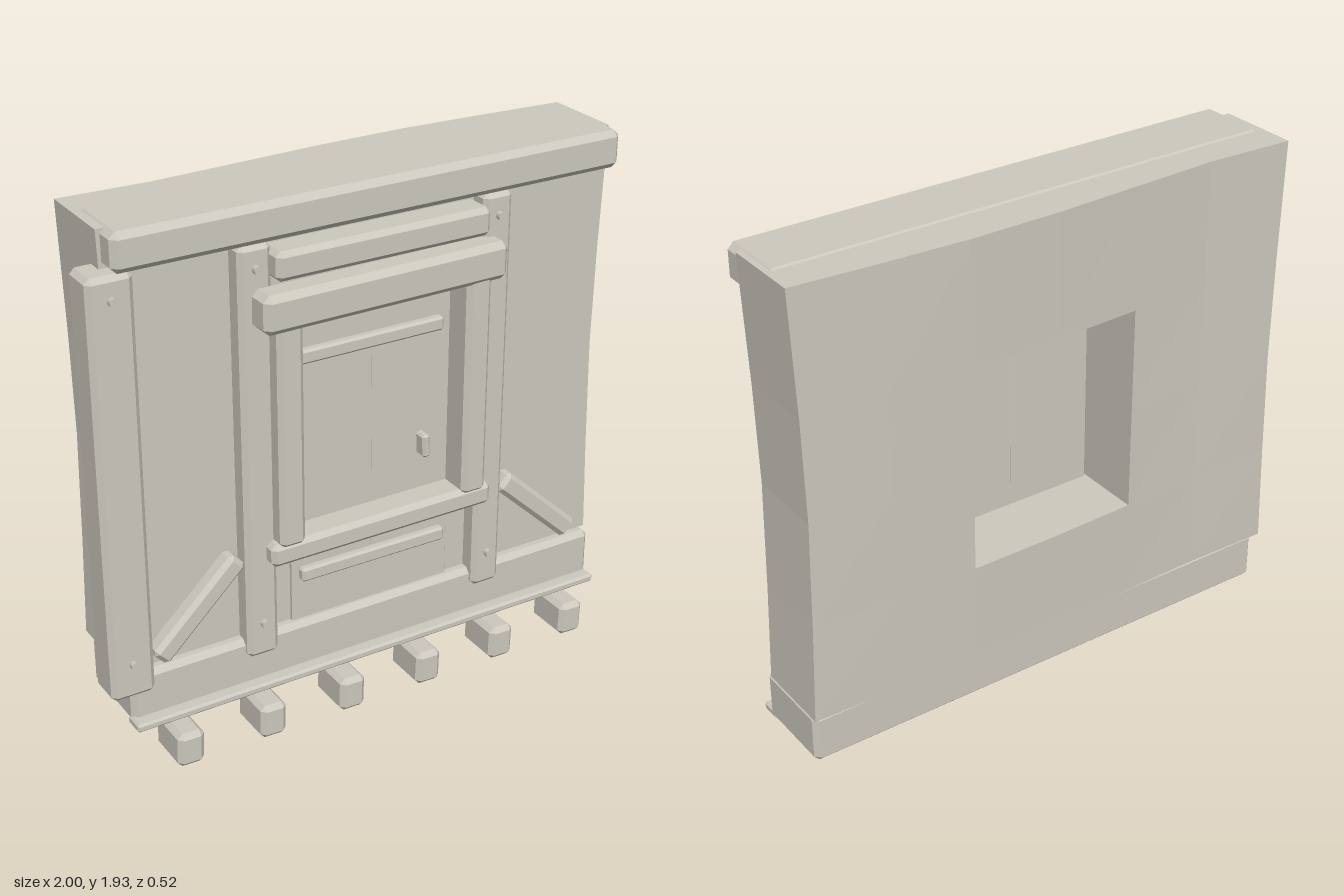
import * as THREE from 'three';
import { ConvexGeometry } from 'three/addons/geometries/ConvexGeometry.js';

const stone = new THREE.MeshStandardMaterial({ color: 0xccc8be });
stone.name = 'warm grey';

// Box with chamfered edges, given by its extents, optionally turned about its centre
function beam(name, [x0, x1], [y0, y1], [z0, z1], bevel = 0.018, roll = 0, yaw = 0) {
  const h = [(x1 - x0) / 2, (y1 - y0) / 2, (z1 - z0) / 2];
  const points = [];
  for (const sx of [-1, 1]) for (const sy of [-1, 1]) for (const sz of [-1, 1]) {
    for (let axis = 0; axis < 3; axis++) {
      const p = h.map((v, i) => (i === axis ? v : v - bevel));
      points.push(new THREE.Vector3(p[0] * sx, p[1] * sy, p[2] * sz));
    }
  }
  const mesh = new THREE.Mesh(new ConvexGeometry(points), stone);
  mesh.name = name;
  mesh.position.set((x0 + x1) / 2, (y0 + y1) / 2, (z0 + z1) / 2);
  mesh.rotation.set(0, yaw, roll);
  return mesh;
}

// Uneven wall slab with a square opening, faceted on a coarse grid
function wallGeometry() {
  const xs = [-0.93, -0.6, -0.29, 0.04, 0.37, 0.68, 1.0];
  const ys = [0.33, 0.7, 1.1, 1.47, 1.92];
  const bulge = [0.008, -0.004, 0.012, 0.03, 0.034, 0.02, 0];
  const pinch = [0, 0.014, 0.024, 0.017, 0];
  const lean = [0.4, 0.55, 0.7, 0.85, 1];
  const nx = xs.length - 1, ny = ys.length - 1;
  const vertex = (i, j, back) => [
    xs[i] + (i === nx ? -pinch[j] : i === 0 ? pinch[j] * 0.8 : 0),
    ys[j],
    back ? -0.226 - bulge[i] * lean[j] : 0.072,
  ];
  const solid = (i, j) => i >= 0 && j >= 0 && i < nx && j < ny
    && !(i >= 2 && i < 4 && j >= 1 && j < 3);
  const data = [];
  const quad = (a, b, c, d) => data.push(...a, ...b, ...c, ...a, ...c, ...d);
  // Reveal or outer edge running from front corner a to front corner b
  const edge = (a, b) => quad(vertex(...b, false), vertex(...a, false), vertex(...a, true), vertex(...b, true));
  for (let i = 0; i < nx; i++) for (let j = 0; j < ny; j++) {
    if (!solid(i, j)) continue;
    const ring = [[i, j], [i + 1, j], [i + 1, j + 1], [i, j + 1]];
    quad(...ring.map(([u, v]) => vertex(u, v, false)));
    quad(...ring.slice().reverse().map(([u, v]) => vertex(u, v, true)));
    [[0, -1], [1, 0], [0, 1], [-1, 0]].forEach(([dx, dy], k) => {
      if (!solid(i + dx, j + dy)) edge(ring[k], ring[(k + 1) % 4]);
    });
  }
  const geometry = new THREE.BufferGeometry();
  geometry.setAttribute('position', new THREE.Float32BufferAttribute(data, 3));
  geometry.computeVertexNormals();
  return geometry;
}

export function createModel() {
  const model = new THREE.Group();
  model.name = 'wallWithDoor';

  const wall = new THREE.Mesh(wallGeometry(), stone);
  wall.name = 'wall';
  model.add(wall);

  // Horizontal beams above and below the wall
  model.add(
    beam('topBeam', [-0.915, 0.995], [1.79, 1.926], [-0.12, 0.155], 0.022),
    beam('baseBeam', [-0.92, 0.995], [0.135, 0.33], [-0.21, 0.115], 0.02),
    beam('baseLedge', [-0.925, 0.99], [0.13, 0.162], [0.08, 0.162], 0.008),
  );

  // Joist ends under the base
  for (let i = 0; i < 6; i++) {
    const x = -0.77 + i * 0.319;
    model.add(beam('joistEnd', [x - 0.05, x + 0.05], [0, 0.13], [0.07, 0.256], 0.018, -0.03));
  }

  // Upright posts with bolts
  const boltGeometry = new THREE.CylinderGeometry(0.015, 0.015, 0.03, 8).rotateX(Math.PI / 2);
  for (const [x0, x1] of [[-1.0, -0.84], [-0.485, -0.365], [0.445, 0.56]]) {
    model.add(beam('post', [x0, x1], [0.265, 1.79], [0, 0.142]));
    for (const y of [0.4, 1.71]) {
      const bolt = new THREE.Mesh(boltGeometry, stone);
      bolt.name = 'bolt';
      bolt.position.set((x0 + x1) / 2, y, 0.145);
      model.add(bolt);
    }
  }

  // Diagonal braces
  for (const [name, x, tilt] of [['rightBrace', -0.657, 0.77], ['leftBrace', 0.737, -0.75]]) {
    model.add(beam(name, [x - 0.215, x + 0.215], [0.475, 0.555], [0.05, 0.13], 0.016, tilt));
  }

  // Door frame
  model.add(
    beam('upperLintel', [-0.375, 0.45], [1.66, 1.762], [0.06, 0.185], 0.018, -0.01, 0.02),
    beam('mainLintel', [-0.448, 0.503], [1.507, 1.643], [0.115, 0.228], 0.022, -0.01, 0.035),
    beam('rightJamb', [-0.38, -0.283], [0.7, 1.53], [0.05, 0.2]),
    beam('leftJamb', [0.35, 0.448], [0.7, 1.53], [0.05, 0.2]),
    beam('doorRail', [-0.41, 0.478], [0.632, 0.718], [0.05, 0.192], 0.018, 0.005),
  );

  // Door leaf in two planks, with cross bars and a handle
  model.add(
    beam('doorPlank', [-0.283, 0.04], [0.3, 1.55], [0.015, 0.085], 0.002),
    beam('doorPlank', [0.04, 0.357], [0.3, 1.55], [0.015, 0.085], 0.002),
    beam('upperBar', [-0.27, 0.312], [1.32, 1.371], [0.05, 0.112], 0.008),
    beam('lowerBar', [-0.253, 0.332], [0.488, 0.54], [0.05, 0.112], 0.008),
    beam('handle', [0.224, 0.254], [0.855, 0.943], [0.05, 0.13], 0.008, 0.05),
  );
  return model;
}
